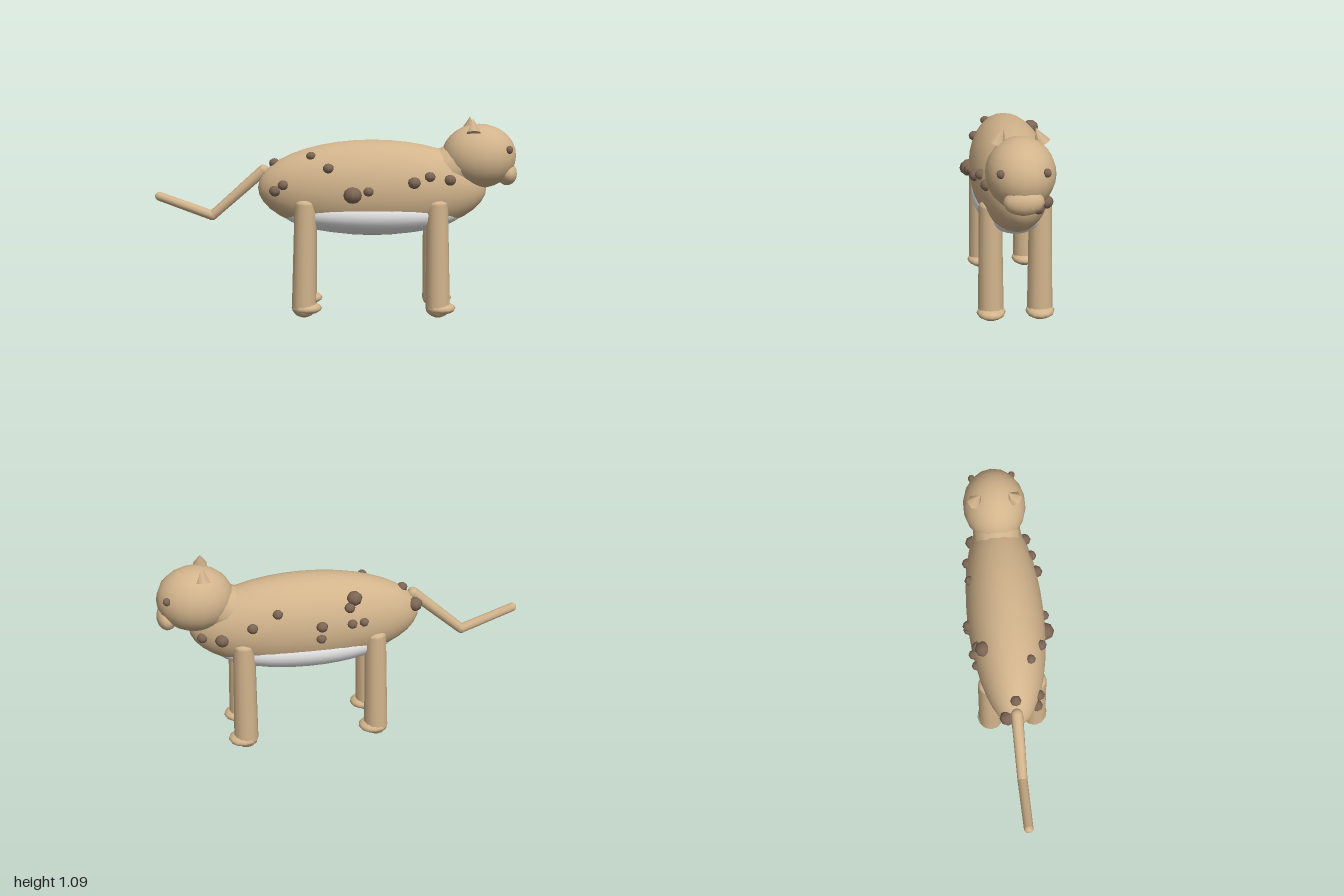
import * as THREE from 'three';

const tan = new THREE.MeshStandardMaterial({ color: 0xd2b48c });
tan.name = 'tan fur';
const brown = new THREE.MeshStandardMaterial({ color: 0x7d6655 });
brown.name = 'brown spots';
const white = new THREE.MeshStandardMaterial({ color: 0xececec });
white.name = 'white belly';

const V = (x, y, z) => new THREE.Vector3(x, y, z);

// Body ellipsoid; z is measured from the model's mid-plane
const BODY = { c: V(0.2, 0.705, 0), r: V(0.63, 0.265, 0.21) };

export function createModel() {
  const model = new THREE.Group();
  model.name = 'spottedCat';
  const inner = new THREE.Group();
  inner.name = 'cat';
  inner.position.z = -0.01;
  model.add(inner);

  function add(name, geometry, material) {
    const mesh = new THREE.Mesh(geometry, material);
    mesh.name = name;
    inner.add(mesh);
    return mesh;
  }

  // Ellipsoid with its poles along x or y
  function ellipsoid(name, c, r, material, w = 16, h = 12, alongX = false) {
    const g = new THREE.SphereGeometry(1, w, h);
    if (alongX) g.rotateZ(-Math.PI / 2);
    g.scale(r.x, r.y, r.z);
    const mesh = add(name, g, material);
    mesh.position.copy(c);
    return mesh;
  }

  // Tapered round rod between two points
  function rod(name, a, b, ra, rb, sides = 12) {
    const mesh = add(name, new THREE.CylinderGeometry(rb, ra, a.distanceTo(b), sides), tan);
    mesh.position.copy(a).lerp(b, 0.5);
    mesh.quaternion.setFromUnitVectors(V(0, 1, 0), b.clone().sub(a).normalize());
    return mesh;
  }

  // Torso, belly patch and neck
  ellipsoid('body', BODY.c, BODY.r, tan, 32, 20, true);
  ellipsoid('belly', V(0.2, 0.57, 0), V(0.5, 0.125, 0.2), white, 32, 20, true);
  rod('neck', V(0.56, 0.78, 0), V(0.74, 0.85, 0), 0.13, 0.13);

  // Head
  ellipsoid('head', V(0.785, 0.88, 0), V(0.205, 0.177, 0.172), tan, 18, 14);
  ellipsoid('muzzle', V(0.94, 0.785, 0), V(0.056, 0.066, 0.1), tan, 14, 10);
  for (const side of [1, -1]) {
    const label = side > 0 ? 'left' : 'right';
    ellipsoid(label + 'Eye', V(0.937, 0.925, 0.11 * side), V(0.02, 0.022, 0.02), brown, 10, 8);
    const ear = rod(label + 'Ear', V(0.742, 1.015, 0.11 * side), V(0.742, 1.09, 0.077 * side), 0.042, 0.0005, 6);
    ear.material = tan;
  }

  // Legs: rounded columns with flat paws pointing forward
  for (const [place, x, lean] of [['front', 0.56, -0.01], ['hind', -0.175, 0.01]]) {
    for (const side of [1, -1]) {
      const label = place + (side > 0 ? 'Left' : 'Right');
      const z = 0.128 * side;
      const foot = V(x, 0.055, z);
      const top = V(x + lean, 0.63, z);
      rod(label + 'Leg', foot, top, 0.067, 0.059, 12);
      ellipsoid(label + 'LegTop', top, V(0.059, 0.032, 0.059), tan, 12, 8);
      ellipsoid(label + 'Heel', V(x, 0.055, z), V(0.067, 0.053, 0.067), tan, 12, 8);
      ellipsoid(label + 'Paw', V(x + 0.015, 0.054, z), V(0.083, 0.034, 0.076), tan, 12, 8);
    }
  }

  // Kinked tail with round joints
  const tail = [V(-0.4, 0.8, 0), V(-0.685, 0.548, 0), V(-0.975, 0.655, 0)];
  const tailR = [0.032, 0.027, 0.025];
  tail.forEach((p, i) => {
    ellipsoid('tailJoint', p, V(1, 1, 1).multiplyScalar(tailR[i]), tan, 10, 8);
    if (i) rod('tail', tail[i - 1], p, tailR[i - 1], tailR[i], 10);
  });

  // Raised spots resting on the body surface: x, y, radius, per side
  const spots = {
    left: [
      [-0.135, 0.89, 0.026], [-0.04, 0.83, 0.03], [-0.33, 0.7, 0.033],
      [-0.285, 0.735, 0.03], [0.09, 0.69, 0.05], [0.175, 0.71, 0.028],
      [0.42, 0.755, 0.035], [0.505, 0.785, 0.03], [0.615, 0.765, 0.033],
    ],
    right: [
      [0.14, 0.75, 0.032], [0.145, 0.68, 0.028], [-0.015, 0.83, 0.03],
      [-0.045, 0.87, 0.043], [-0.025, 0.745, 0.028], [-0.09, 0.745, 0.026],
      [0.37, 0.83, 0.028], [0.505, 0.76, 0.03], [0.665, 0.685, 0.038],
      [0.765, 0.685, 0.03], [-0.4, 0.755, 0.042],
    ],
  };
  for (const [label, list] of Object.entries(spots)) {
    for (const [x, y, r] of list) {
      const u = (x - BODY.c.x) / BODY.r.x;
      const v = (y - BODY.c.y) / BODY.r.y;
      const z = BODY.r.z * Math.sqrt(Math.max(0, 1 - u * u - v * v));
      ellipsoid(label + 'Spot', V(x, y, label === 'left' ? z : -z), V(r, r * 0.9, r), brown, 8, 6);
    }
  }
  ellipsoid('rumpSpot', V(-0.338, 0.84, 0), V(0.03, 0.027, 0.03), brown, 8, 6);

  return model;
}
